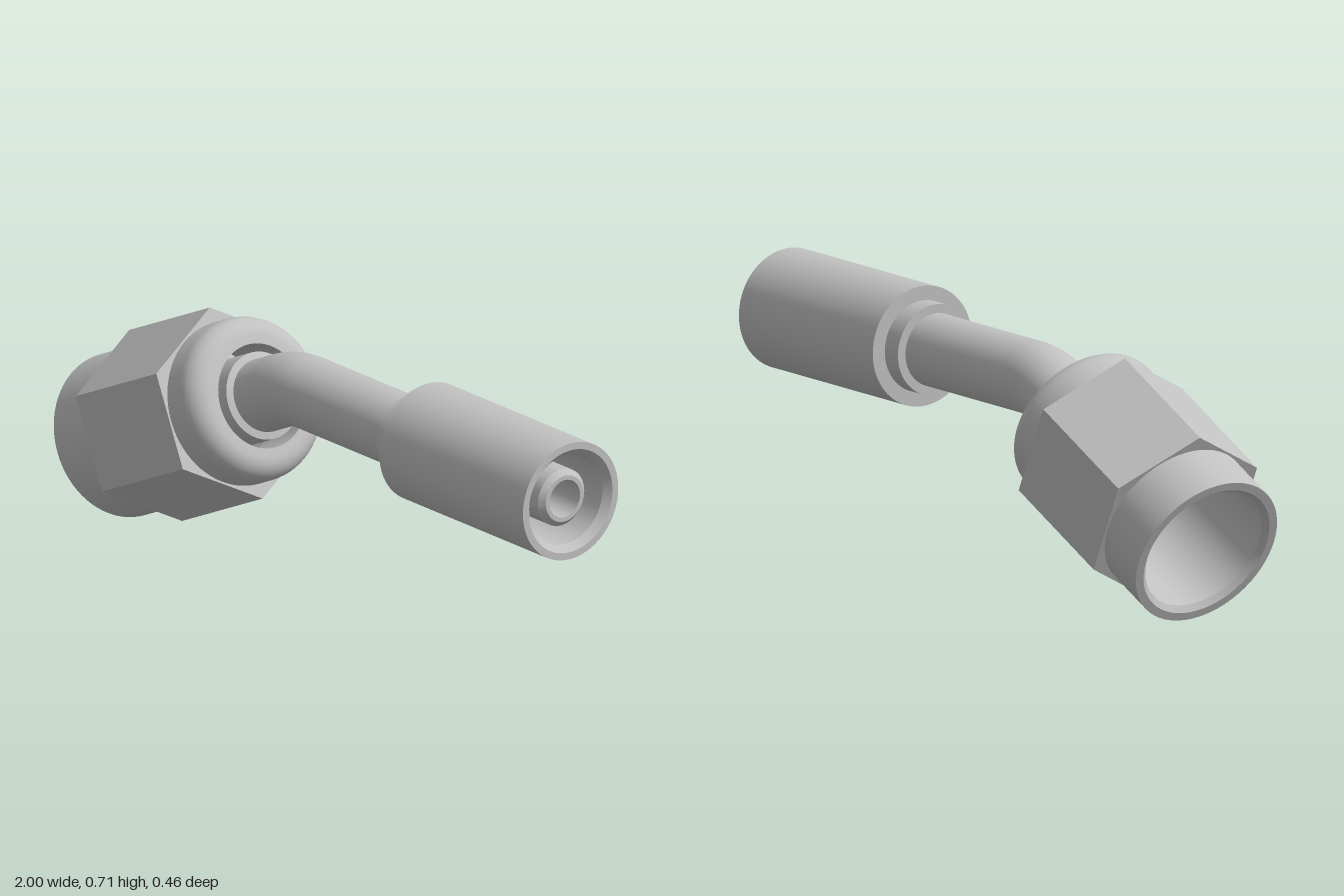
import * as THREE from 'three';
import { toCreasedNormals } from 'three/addons/utils/BufferGeometryUtils.js';

const steel = new THREE.MeshStandardMaterial({ color: 0xc0c0c0, side: THREE.DoubleSide });
steel.name = 'steel';

const TILT = THREE.MathUtils.degToRad(25);
const AXIS_Y = 0.547;                                   // height of the straight tube
const NUT_END = new THREE.Vector3(-0.905, 0.204, 0);    // centre of the nut's open end
const DIR = new THREE.Vector3(Math.cos(TILT), Math.sin(TILT), 0);

function mesh(name, geometry) {
  const m = new THREE.Mesh(geometry, steel);
  m.name = name;
  return m;
}

// Turned part: profile of [radius, distance along axis], crisp at hard corners
function turned(name, profile) {
  const points = profile.map(([r, t]) => new THREE.Vector2(r, t));
  return mesh(name, toCreasedNormals(new THREE.LatheGeometry(points, 72), 0.5));
}

// Quarter-round between outer radius r and end t
function roundOver(r, t, size, steps = 8) {
  return Array.from({ length: steps + 1 }, (_, i) => {
    const a = (i / steps) * Math.PI / 2;
    return [r - size + size * Math.cos(a), t - size + size * Math.sin(a)];
  });
}

// Centre line: tilted run, bend, straight run
function centreLine(startT, endX) {
  const corner = NUT_END.clone().addScaledVector(DIR, (AXIS_Y - NUT_END.y) / DIR.y);
  const bendIn = corner.clone().addScaledVector(DIR, -0.06);
  const bendOut = corner.clone().add(new THREE.Vector3(0.06, 0, 0));
  const path = new THREE.CurvePath();
  path.add(new THREE.LineCurve3(NUT_END.clone().addScaledVector(DIR, startT), bendIn));
  path.add(new THREE.QuadraticBezierCurve3(bendIn, corner, bendOut));
  path.add(new THREE.LineCurve3(bendOut, new THREE.Vector3(endX, AXIS_Y, 0)));
  return path;
}

function createNut() {
  const nut = new THREE.Group();
  nut.name = 'swivelNut';
  nut.position.copy(NUT_END);
  nut.rotation.z = TILT - Math.PI / 2;

  // Round body with open threaded end and rounded shoulder
  nut.add(turned('nutBody', [
    [0.185, 0.015], [0.2, 0], [0.224, 0], ...roundOver(0.225, 0.655, 0.06),
    [0.143, 0.655], [0.143, 0.5], [0.185, 0.45], [0.185, 0.015],
  ]));

  // Hexagonal wrench section
  const hex = new THREE.Shape(Array.from({ length: 6 }, (_, i) =>
    new THREE.Vector2(Math.cos(i * Math.PI / 3), Math.sin(i * Math.PI / 3)).multiplyScalar(0.266)));
  hex.holes.push(new THREE.Path().absarc(0, 0, 0.205, 0, Math.PI * 2, true));
  const hexGeo = new THREE.ExtrudeGeometry(hex, { depth: 0.377, bevelEnabled: false, curveSegments: 36 });
  hexGeo.rotateX(-Math.PI / 2).translate(0, 0.157, 0);
  nut.add(mesh('nutHexagon', hexGeo));

  // Flared seat of the tube inside the nut, with its collar
  nut.add(turned('flaredSeat', [
    [0.053, 0.5], [0.15, 0.38], [0.167, 0.385], [0.167, 0.43],
    [0.12, 0.5], [0.12, 0.66], [0.099, 0.665],
  ]));
  return nut;
}

function createHoseEnd() {
  const end = new THREE.Group();
  end.name = 'hoseEnd';
  end.position.y = AXIS_Y;
  end.rotation.z = -Math.PI / 2;
  // Crimp sleeve with small collar and deep annular socket
  end.add(turned('crimpSleeve', [
    [0.095, 0.33], [0.125, 0.33], [0.125, 0.39], [0.165, 0.39], [0.165, 1],
    [0.145, 1], [0.127, 0.98], [0.127, 0.5], [0.08, 0.5],
  ]));
  // Inner stem with chamfered tip
  end.add(turned('hoseStem', [[0.08, 0.5], [0.08, 0.96], [0.065, 0.975], [0.053, 0.975]]));
  return end;
}

export function createModel() {
  const model = new THREE.Group();
  model.name = 'angledHoseFitting';
  model.add(createNut(), createHoseEnd());
  model.add(mesh('bentTube', new THREE.TubeGeometry(centreLine(0.5, 0.36), 100, 0.1, 48)));
  model.add(mesh('tubeBore', new THREE.TubeGeometry(centreLine(0.5, 0.975), 140, 0.053, 36)));
  return model;
}
